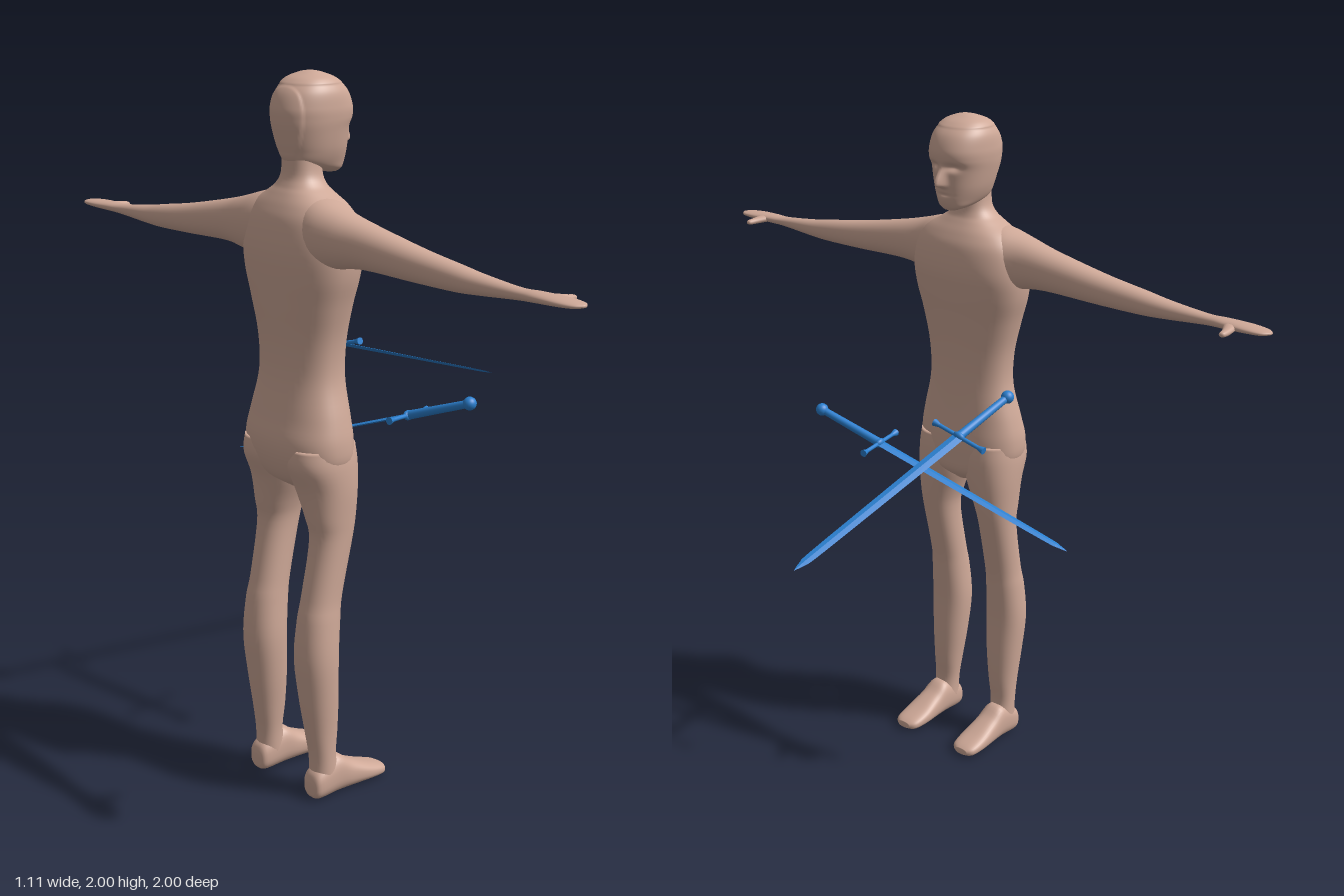
import * as THREE from 'three';

const skin = new THREE.MeshStandardMaterial({ color: 0xcfa998 });
skin.name = 'skin';
const steel = new THREE.MeshStandardMaterial({ color: 0x2b80d0 });
steel.name = 'blue steel';

// Smooth interpolation between profile rows.
function sampleRow(rows, u) {
  const n = rows.length - 1;
  const i = Math.min(Math.floor(u * n), n - 1), f = u * n - i;
  const [p, a, b, q] = [i - 1, i, i + 1, i + 2].map(k => rows[Math.min(Math.max(k, 0), n)]);
  return a.map((v, k) => v + 0.5 * f * (b[k] - p[k]
    + f * (2 * p[k] - 5 * v + 4 * b[k] - q[k] + f * (3 * (v - b[k]) + q[k] - p[k]))));
}

// Loft along an axis. Row: [position, a0, a1, b0, b1], with a and b the next two axes in x-y-z order.
function loft(axis, rows, { rings = 48, sides = 36, power = 2.2, rule = null, mirror = false } = {}) {
  const pos = [], idx = [];
  const add = (t, a, b) => {
    const v = new THREE.Vector3();
    v.setComponent(axis, t);
    v.setComponent((axis + 1) % 3, a);
    v.setComponent((axis + 2) % 3, b);
    if (rule) rule(v);
    if (mirror) v.z *= -1;
    pos.push(v.x, v.y, v.z);
  };
  const bend = c => Math.sign(c) * Math.abs(c) ** (2 / power);
  for (let i = 0; i <= rings; i++) {
    const [t, a0, a1, b0, b1] = sampleRow(rows, i / rings);
    for (let j = 0; j < sides; j++) {
      const w = j / sides * Math.PI * 2;
      add(t, (a0 + a1) / 2 + (a1 - a0) / 2 * bend(Math.cos(w)), (b0 + b1) / 2 + (b1 - b0) / 2 * bend(Math.sin(w)));
    }
  }
  const tri = (a, b, c) => mirror ? idx.push(a, c, b) : idx.push(a, b, c);
  for (let i = 0; i < rings; i++) {
    for (let j = 0; j < sides; j++) {
      const a = i * sides + j, b = i * sides + (j + 1) % sides;
      tri(a, b, a + sides);
      tri(b, b + sides, a + sides);
    }
  }
  // Closed ends
  [rows[0], rows[rows.length - 1]].forEach(([t, a0, a1, b0, b1], end) => {
    const c = pos.length / 3, s = end ? rings * sides : 0;
    add(t, (a0 + a1) / 2, (b0 + b1) / 2);
    for (let j = 0; j < sides; j++) {
      const p = s + j, q = s + (j + 1) % sides;
      if (end) tri(c, p, q); else tri(c, q, p);
    }
  });
  const g = new THREE.BufferGeometry();
  g.setAttribute('position', new THREE.Float32BufferAttribute(pos, 3));
  g.setIndex(idx);
  g.computeVertexNormals();
  return g;
}

function part(parent, name, geometry, material) {
  const m = new THREE.Mesh(geometry, material);
  m.name = name;
  parent.add(m);
  return m;
}

// Rows centred on z = 0: [y, half width, back x, front x]
const centred = rows => rows.map(([y, h, b, f]) => [y, -h, h, b, f]);

const torsoRows = centred([
  [0.885, 0.03, -0.47, -0.39], [0.92, 0.13, -0.52, -0.352], [0.97, 0.172, -0.545, -0.343],
  [1.03, 0.178, -0.552, -0.34], [1.1, 0.165, -0.536, -0.345], [1.2, 0.14, -0.518, -0.348],
  [1.3, 0.143, -0.517, -0.343], [1.4, 0.165, -0.527, -0.33], [1.48, 0.187, -0.535, -0.315],
  [1.55, 0.193, -0.537, -0.305], [1.62, 0.18, -0.527, -0.314], [1.66, 0.15, -0.511, -0.332],
  [1.69, 0.102, -0.493, -0.352], [1.71, 0.073, -0.48, -0.364], [1.74, 0.056, -0.469, -0.37],
  [1.8, 0.052, -0.468, -0.37]]);

const headRows = centred([
  [1.734, 0.022, -0.345, -0.306], [1.745, 0.045, -0.395, -0.297], [1.765, 0.06, -0.46, -0.289],
  [1.8, 0.074, -0.476, -0.285], [1.85, 0.085, -0.488, -0.28], [1.88, 0.09, -0.492, -0.27],
  [1.91, 0.091, -0.491, -0.27], [1.95, 0.085, -0.476, -0.288], [1.98, 0.064, -0.447, -0.322],
  [1.995, 0.033, -0.412, -0.357], [2.0, 0.004, -0.388, -0.38]]);

const armRows = [
  [0.06, -0.505, -0.365, 1.5, 1.69], [0.12, -0.515, -0.35, 1.5, 1.682], [0.19, -0.508, -0.37, 1.512, 1.662],
  [0.28, -0.493, -0.38, 1.522, 1.64], [0.46, -0.48, -0.393, 1.518, 1.605], [0.6, -0.474, -0.402, 1.517, 1.584],
  [0.68, -0.468, -0.408, 1.521, 1.572], [0.8, -0.46, -0.418, 1.53, 1.56], [0.86, -0.465, -0.411, 1.533, 1.56],
  [0.93, -0.469, -0.405, 1.536, 1.558], [0.98, -0.461, -0.411, 1.539, 1.554], [1.0, -0.442, -0.43, 1.544, 1.55]];

const thumbRows = [
  [-0.44, 1.537, 1.556, 0.85, 0.9], [-0.41, 1.534, 1.555, 0.87, 0.908], [-0.38, 1.532, 1.55, 0.885, 0.91],
  [-0.36, 1.533, 1.547, 0.89, 0.908], [-0.355, 1.538, 1.542, 0.896, 0.902]];

const legRows = [
  [1.02, 0.012, 0.17, -0.54, -0.35], [0.97, 0.003, 0.177, -0.545, -0.345], [0.9, 0.014, 0.177, -0.518, -0.35],
  [0.82, 0.044, 0.172, -0.503, -0.362], [0.75, 0.058, 0.168, -0.495, -0.378], [0.6, 0.058, 0.165, -0.525, -0.415],
  [0.53, 0.055, 0.17, -0.542, -0.426], [0.42, 0.05, 0.175, -0.553, -0.436], [0.3, 0.058, 0.168, -0.543, -0.436],
  [0.2, 0.07, 0.16, -0.53, -0.44], [0.12, 0.079, 0.157, -0.52, -0.448], [0.05, 0.08, 0.158, -0.522, -0.435]
].reverse();

const footRows = [
  [-0.533, 0.015, 0.05, 0.1, 0.14], [-0.518, 0, 0.085, 0.084, 0.156], [-0.45, 0, 0.115, 0.078, 0.161],
  [-0.4, 0, 0.085, 0.076, 0.164], [-0.34, 0, 0.055, 0.073, 0.168], [-0.29, 0, 0.035, 0.08, 0.163],
  [-0.272, 0.006, 0.025, 0.1, 0.145]];

// Sculpts eye sockets, nose, mouth and the raised hairline.
const bump = (d, w) => Math.exp(-((d / w) ** 2));
function sculptFace(v) {
  const { x, y, z } = v, s = THREE.MathUtils.smoothstep;
  const front = s(x, -0.36, -0.3);
  const nose = s(1.875 - y, 0, 0.06) * s(y, 1.797, 1.812);
  v.x += front * (0.034 * nose * bump(z, 0.013)
    - 0.015 * bump(y - 1.862, 0.011) * bump(Math.abs(z) - 0.034, 0.02)
    - 0.005 * bump(y - 1.78, 0.005) * bump(z, 0.022));
  const hair = Math.max(s(-x, 0.462, 0.468), s(y, 1.966, 1.97)) * s(y, 1.77, 1.79) * s(2 - y, 0, 0.02);
  v.x += (x + 0.385) * 0.03 * hair;
  v.z *= 1 + 0.04 * hair;
}

// Sword placed by its pommel, tip and guard direction.
function sword(name, pommel, tip, guardDir) {
  const g = new THREE.Group();
  g.name = name;
  const start = new THREE.Vector3(...pommel);
  const along = new THREE.Vector3(...tip).sub(start);
  const length = along.length();
  along.normalize();
  const across = new THREE.Vector3(...guardDir);
  across.addScaledVector(along, -across.dot(along)).normalize();
  g.quaternion.setFromRotationMatrix(
    new THREE.Matrix4().makeBasis(across, along, across.clone().cross(along)));
  g.position.copy(start);

  part(g, 'pommel', new THREE.SphereGeometry(0.019, 24, 16), steel);
  part(g, 'grip', new THREE.CylinderGeometry(0.013, 0.011, 0.215, 20).translate(0, 0.1075, 0), steel);
  const bladeRows = [[0.21, 0.005, 0.018], [0.5, 0.004, 0.0165], [length - 0.08, 0.003, 0.014],
    [length - 0.03, 0.002, 0.009], [length, 0.0003, 0.0005]].map(([y, t, w]) => [y, -t, t, -w, w]);
  const blade = loft(1, bladeRows, { rings: 16, sides: 4, power: 2 }).toNonIndexed();
  blade.computeVertexNormals();
  part(g, 'blade', blade, steel);
  part(g, 'guard', new THREE.CylinderGeometry(0.006, 0.006, 0.17, 16).rotateZ(Math.PI / 2).translate(0, 0.215, 0), steel);
  part(g, 'guardBlock', new THREE.SphereGeometry(0.016, 20, 12).scale(1.2, 0.7, 0.9).translate(0, 0.215, 0), steel);
  for (const s of [-1, 1]) {
    part(g, 'guardEnd', new THREE.CylinderGeometry(0.011, 0.006, 0.02, 16)
      .rotateZ(-s * Math.PI / 2).translate(s * 0.08, 0.215, 0), steel);
  }
  return g;
}

export function createModel() {
  const model = new THREE.Group();
  model.name = 'swordsman';
  const body = new THREE.Group();
  body.name = 'body';
  model.add(body);

  part(body, 'torso', loft(1, torsoRows, { rings: 75, sides: 48, power: 2.3 }), skin);
  part(body, 'head', loft(1, headRows, { rings: 110, sides: 112, power: 2.2, rule: sculptFace }), skin);

  // Limbs, on both sides
  for (const [side, mirror] of [['left', false], ['right', true]]) {
    part(body, side + 'Arm', loft(2, armRows, { mirror }), skin);
    part(body, side + 'Thumb', loft(0, thumbRows, { mirror, rings: 16, sides: 16 }), skin);
    part(body, side + 'Leg', loft(1, legRows, { mirror }), skin);
    part(body, side + 'Foot', loft(0, footRows, { mirror, rings: 30, power: 2.5 }), skin);
  }

  model.add(sword('forwardSword', [-0.28, 1.237, -0.262], [0.555, 0.967, -0.24], [0.01, 0.043, 0.172]));
  model.add(sword('sidewaysSword', [-0.096, 1.108, 0.305], [-0.266, 0.834, -0.508], [0.18, -0.01, -0.035]));
  return model;
}
